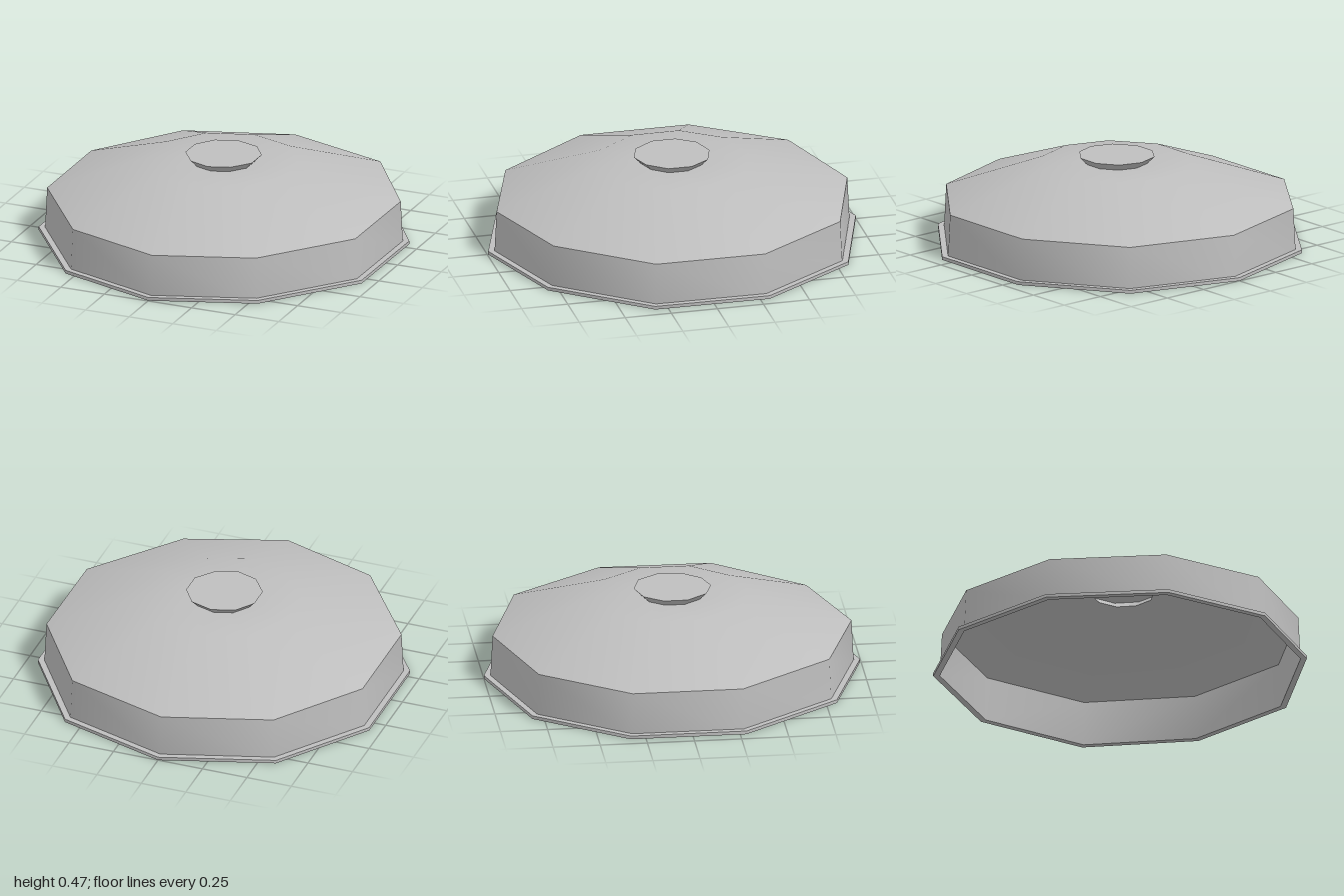
import * as THREE from 'three';
import { toCreasedNormals } from 'three/addons/utils/BufferGeometryUtils.js';

// Slightly uneven ten-sided outline as [x, z], from the back round by the left side
const OUTLINE = [
  [0, -1], [0.593, -0.812], [0.937, -0.30], [0.932, 0.32], [0.545, 0.807],
  [0, 0.995], [-0.556, 0.807], [-0.937, 0.283], [-0.937, -0.33], [-0.593, -0.812],
];

const metal = new THREE.MeshStandardMaterial({ color: 0xbebebe, side: THREE.DoubleSide });
metal.name = 'grey metal';

// Skins a profile of [outline scale, height] rings; a scale of 0 closes to a point
function skin(name, rings) {
  const pos = [];
  const n = OUTLINE.length;
  const point = ([s, y], i) => [OUTLINE[i % n][0] * s, y, OUTLINE[i % n][1] * s];
  for (let r = 0; r < rings.length - 1; r++) {
    for (let i = 0; i < n; i++) {
      const a = point(rings[r], i), b = point(rings[r], i + 1);
      const c = point(rings[r + 1], i), d = point(rings[r + 1], i + 1);
      if (rings[r + 1][0] > 0) pos.push(...a, ...c, ...d);
      pos.push(...a, ...d, ...b);
    }
  }
  const geometry = new THREE.BufferGeometry();
  geometry.setAttribute('position', new THREE.Float32BufferAttribute(pos, 3));
  const mesh = new THREE.Mesh(toCreasedNormals(geometry, 0.8), metal);
  mesh.name = name;
  return mesh;
}

export function createModel() {
  const group = new THREE.Group();
  group.name = 'domedLid';
  group.add(
    // Thin flange round the open bottom
    skin('rim', [[0.966, 0], [1, 0], [1, 0.018], [0.966, 0.018]]),
    // Gently tapering side
    skin('wall', [[0.966, 0], [0.954, 0.24]]),
    // Sloped roof with a flat top, open beneath the knob
    skin('dome', [[0.954, 0.24], [0.41, 0.435], [0.167, 0.435]]),
    // Flared handle with a flat cap
    skin('knob', [[0.167, 0.435], [0.206, 0.474], [0, 0.474]]),
  );
  return group;
}
